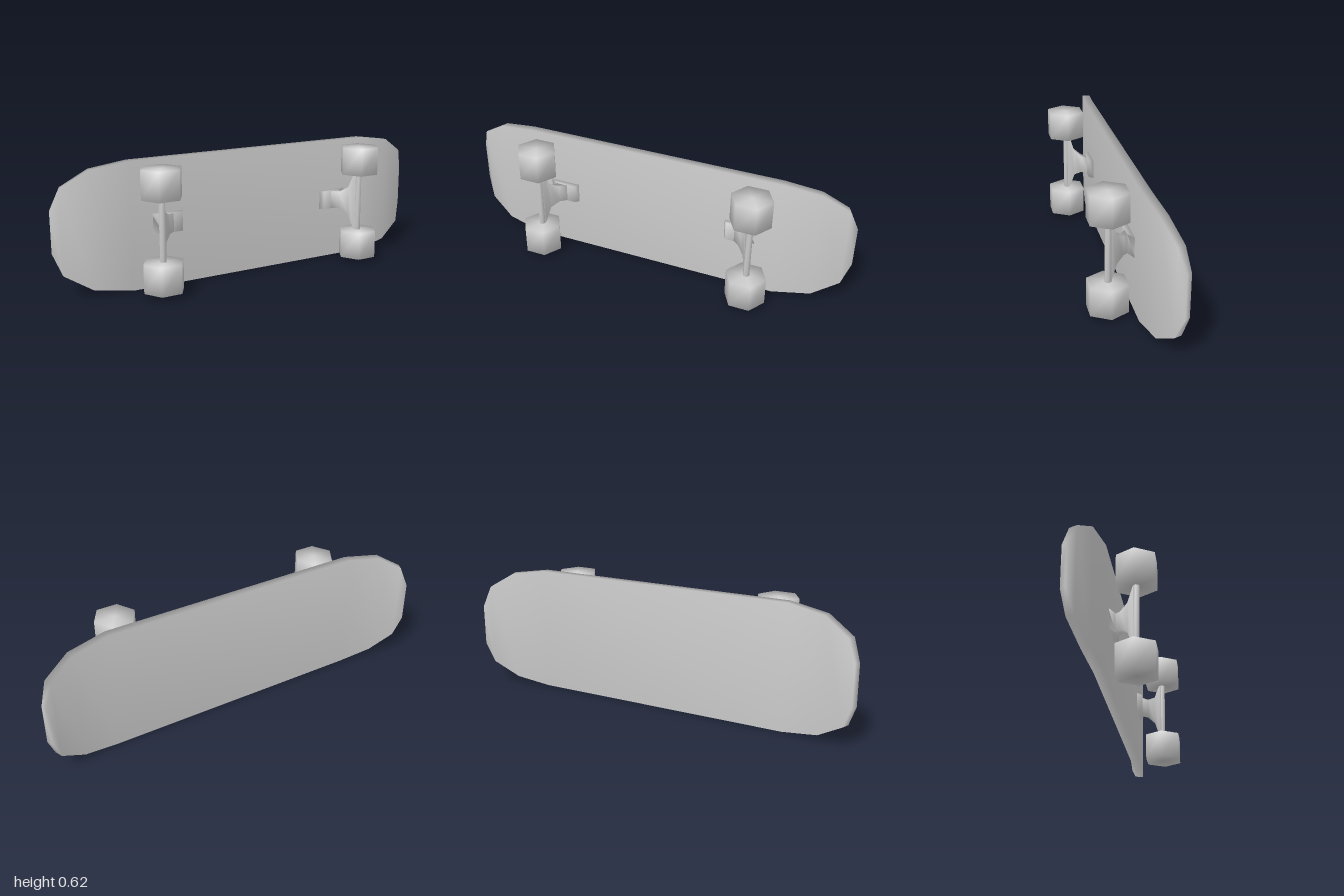
import * as THREE from 'three';
import { mergeVertices } from 'three/addons/utils/BufferGeometryUtils.js';

const MID = 0.308; // height of the board's long axis
const material = new THREE.MeshStandardMaterial({ color: 0xcccccc });

function part(name, geometry) {
  const mesh = new THREE.Mesh(geometry, material);
  mesh.name = name;
  return mesh;
}

// Share corners so the low-poly solids are shaded softly
function soften(geometry) {
  geometry.deleteAttribute('uv');
  geometry.deleteAttribute('normal');
  const merged = mergeVertices(geometry, 1e-4);
  merged.computeVertexNormals();
  return merged;
}

// Loft through four-cornered sections [x1, z1, x2, z2, half height]
function loft(sections) {
  const positions = [], index = [];
  for (const [x1, z1, x2, z2, h] of sections) {
    positions.push(x1, h, z1, x1, -h, z1, x2, -h, z2, x2, h, z2);
  }
  for (let i = 0; i < sections.length - 1; i++) {
    for (let j = 0; j < 4; j++) {
      const a = i * 4 + j, b = i * 4 + (j + 1) % 4;
      index.push(a, b, b + 4, a, b + 4, a + 4);
    }
  }
  const e = (sections.length - 1) * 4;
  index.push(0, 2, 1, 0, 3, 2, e, e + 1, e + 2, e, e + 2, e + 3);
  const geometry = new THREE.BufferGeometry();
  geometry.setAttribute('position', new THREE.Float32BufferAttribute(positions, 3));
  geometry.setIndex(index);
  geometry.computeVertexNormals();
  return geometry;
}

// Upright hexagonal prism with a corner pointing along x
function hexagon(radius, height) {
  return soften(new THREE.CylinderGeometry(radius, radius, height, 6, 1, false, Math.PI / 6));
}

function createTruck() {
  const truck = new THREE.Group();
  truck.name = 'truck';

  const axle = part('axle', hexagon(0.016, 0.32));
  axle.position.set(0.55, 0, 0.075);
  truck.add(axle);

  // Flared hanger narrowing to a neck that slants into the base
  truck.add(part('hanger', loft([
    [0.557, 0.078, 0.538, 0.074, 0.15],
    [0.556, 0.06, 0.534, 0.06, 0.148],
    [0.548, 0.035, 0.515, 0.037, 0.07],
    [0.522, 0, 0.48, 0.005, 0.044],
    [0.497, -0.03, 0.44, -0.03, 0.044],
  ])));

  truck.add(part('basePlate', loft([
    [0.5, -0.022, 0.405, -0.022, 0.046],
    [0.55, -0.048, 0.39, -0.048, 0.05],
  ])));

  for (const side of [-1, 1]) {
    const wheel = part('wheel', hexagon(0.1, 0.137));
    wheel.position.set(0.55, side * 0.218, 0.077);
    truck.add(wheel);
  }
  return truck;
}

export function createModel() {
  const board = new THREE.Group();
  board.name = 'skateboard';

  // Deck: straight middle with rounded, upturned ends
  const end = [
    [0.65, -0.045, 0.65, -0.087, 0.308],
    [0.836, -0.07, 0.825, -0.109, 0.28],
    [0.962, -0.109, 0.947, -0.145, 0.203],
    [1, -0.14, 0.985, -0.163, 0.1],
  ];
  const otherEnd = end.map(([x1, z1, x2, z2, h]) => [-x1, z1, -x2, z2, h]).reverse();
  const deck = part('deck', loft([...otherEnd, ...end]));
  deck.position.y = MID;
  board.add(deck);

  // One truck at each end, turned to face each other
  for (const turn of [0, Math.PI]) {
    const truck = createTruck();
    truck.position.y = MID;
    truck.rotation.z = turn;
    board.add(truck);
  }
  return board;
}
